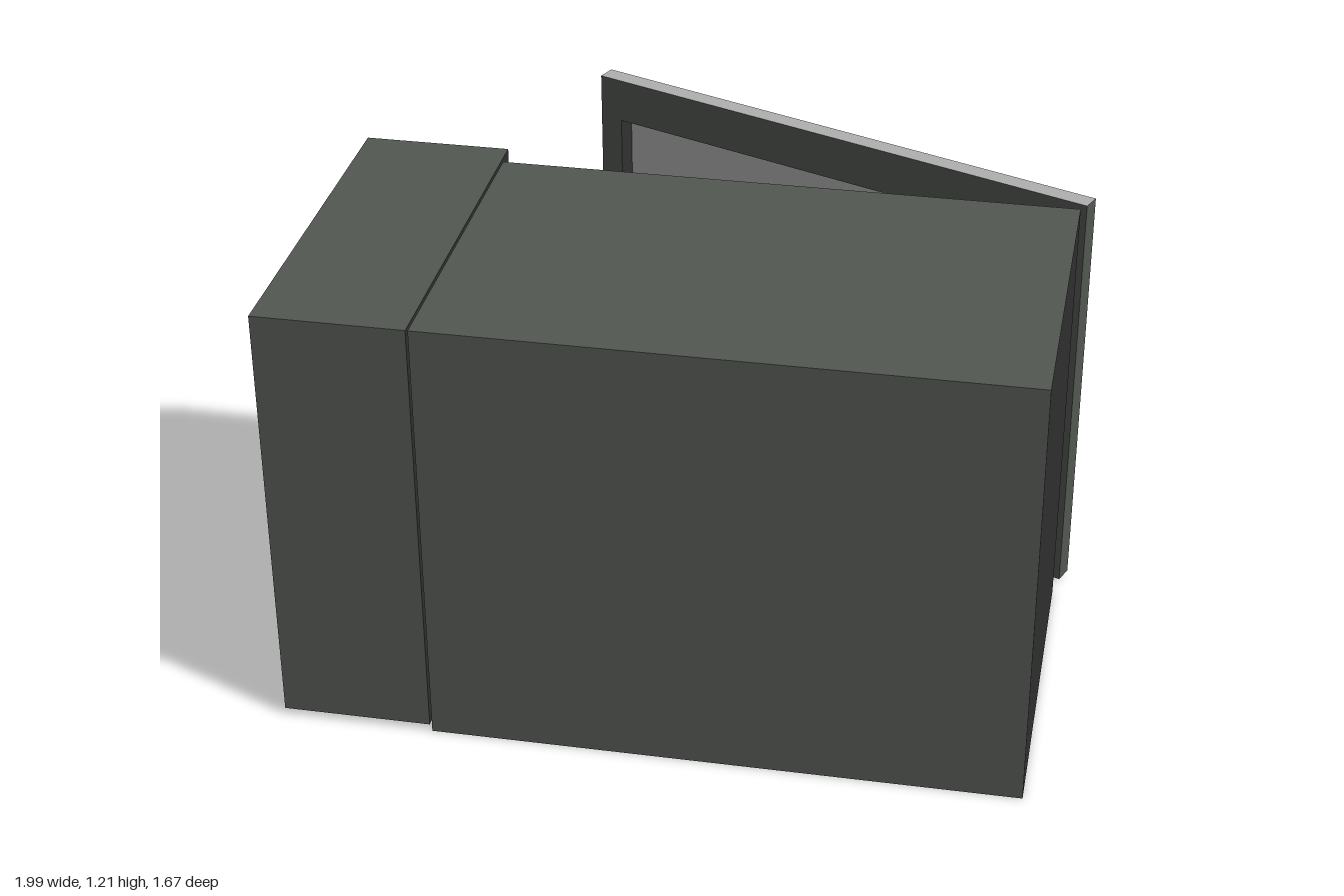
import * as THREE from 'three';

const mat = (name, color) => Object.assign(new THREE.MeshStandardMaterial({ color }), { name });
const slate = mat('slate', 0x525752);
const charcoal = mat('charcoal', 0x303030);
const lightGrey = mat('lightGrey', 0xb0b0b0);
const palette = { s: slate, c: charcoal, l: lightGrey };

const inset = ([x0, y0, x1, y1], b, t = b, l = b, r = b) => [x0 + l, y0 + b, x1 - r, y1 - t];

// Joins rectangles [rect, z, colours] from the +z end to the -z end.
// Colours letter the walls leading to that rectangle: bottom, +x, top, -x.
function shell(name, sections, startCap, endCap) {
  const faces = { s: [], c: [], l: [] };
  const corners = ([[x0, y0, x1, y1], z]) => [[x0, y0, z], [x1, y0, z], [x1, y1, z], [x0, y1, z]];
  const quad = (key, a, b, c, d) => faces[key].push(...a, ...b, ...c, ...a, ...c, ...d);
  const rings = sections.map(corners);
  if (startCap) quad(startCap, ...rings[0]);
  for (let i = 1; i < rings.length; i++) {
    const A = rings[i - 1], B = rings[i];
    for (let k = 0; k < 4; k++) {
      const n = (k + 1) % 4;
      quad(sections[i][2][k], A[k], B[k], B[n], A[n]);
    }
  }
  if (endCap) quad(endCap, ...rings[rings.length - 1].slice().reverse());

  const geo = new THREE.BufferGeometry();
  const positions = [], materials = [];
  for (const key in faces) {
    if (!faces[key].length) continue;
    geo.addGroup(positions.length / 3, faces[key].length / 3, materials.length);
    positions.push(...faces[key]);
    materials.push(palette[key]);
  }
  geo.setAttribute('position', new THREE.Float32BufferAttribute(positions, 3));
  geo.computeVertexNormals();
  const mesh = new THREE.Mesh(geo, materials);
  mesh.name = name;
  return mesh;
}

// Thin plate with rounded corners, lying on a plane that faces -z
function plate(name, material, cx, cy, w, h, r, z, depth = 0.004) {
  const s = new THREE.Shape();
  const x = w / 2 - r, y = h / 2 - r;
  s.absarc(x, y, r, 0, Math.PI / 2);
  s.absarc(-x, y, r, Math.PI / 2, Math.PI);
  s.absarc(-x, -y, r, Math.PI, Math.PI * 1.5);
  s.absarc(x, -y, r, Math.PI * 1.5, Math.PI * 2);
  const geo = new THREE.ExtrudeGeometry(s, { depth, bevelEnabled: false, curveSegments: 4 });
  const mesh = new THREE.Mesh(geo, material);
  mesh.position.set(cx, cy, z - depth);
  mesh.name = name;
  return mesh;
}

export function createModel() {
  const model = new THREE.Group();
  model.name = 'microwaveOven';

  // Oven box with an open cavity
  const box = [-0.597, 0, 0.96, 1.21];
  const opening = [-0.48, 0.14, 0.85, 1.12];
  model.add(shell('ovenBody', [
    [box, 0.83],
    [box, -0.12, 'ccsc'],
    [opening, -0.12, 'cccc'],
    [opening, 0.78, 'sccc'],
  ], 's', 'c'));

  // Turntable
  const turntable = new THREE.Group();
  turntable.name = 'turntable';
  const dish = new THREE.CylinderGeometry(0.29, 0.23, 0.04, 12).toNonIndexed();
  dish.computeVertexNormals();
  turntable.add(new THREE.Mesh(dish, lightGrey));
  const hub = new THREE.Mesh(new THREE.CylinderGeometry(0.06, 0.06, 0.03, 12), charcoal);
  hub.position.y = -0.03;
  turntable.add(hub);
  turntable.position.set(0.18, 0.185, 0.33);
  model.add(turntable);

  // Control column
  const column = [-1, 0.02, -0.603, 1.21];
  model.add(shell('controlColumn', [
    [column, 0.83],
    [column, -0.2, 'ccsc'],
    [inset(column, 0.04), -0.235, 'cccc'],
  ], 's', 'c'));

  // Control panels, display and keys
  const front = -0.235;
  model.add(
    plate('upperPanel', slate, -0.8, 1.01, 0.315, 0.31, 0.005, front),
    plate('lowerPanel', slate, -0.8, 0.19, 0.315, 0.26, 0.005, front),
    plate('display', charcoal, -0.8, 1.075, 0.24, 0.075, 0.025, front - 0.004),
    plate('keyStrip', charcoal, -0.8, 0.91, 0.24, 0.075, 0.025, front - 0.004),
    plate('lightKey', lightGrey, -0.74, 0.993, 0.11, 0.036, 0.017, front - 0.004),
    plate('darkKey', charcoal, -0.865, 0.993, 0.11, 0.036, 0.017, front - 0.004),
  );

  // Door release button
  const button = [-0.92, 0.105, -0.69, 0.19];
  model.add(shell('releaseButton', [
    [button, front],
    [inset(button, 0.015, 0.015, 0.025, 0.025), -0.27, 'ssss'],
  ], null, 'c'));

  // Door, swung open about its hinge edge
  const door = new THREE.Group();
  door.name = 'door';
  const slab = [-1.548, 0.02, 0, 1.205];
  const pane = [-1.48, 0.15, -0.12, 1.08];
  door.add(shell('doorFrame', [
    [pane, -0.056],
    [pane, 0, 'cccc'],
    [slab, 0, 'ssss'],
    [slab, -0.052, 'csls'],
    [inset(slab, 0.055, 0.055, 0, 0.05), -0.112, 'csss'],
    [pane, -0.112, 'cccc'],
    [pane, -0.056, 'sccs'],
  ]));
  const glass = new THREE.Mesh(new THREE.BoxGeometry(1.36, 0.93, 0.008), lightGrey);
  glass.name = 'doorWindow';
  glass.position.set(-0.8, 0.615, -0.056);
  door.add(glass);
  door.position.set(0.975, 0, -0.152);
  door.rotation.y = -0.384;
  model.add(door);

  return model;
}
